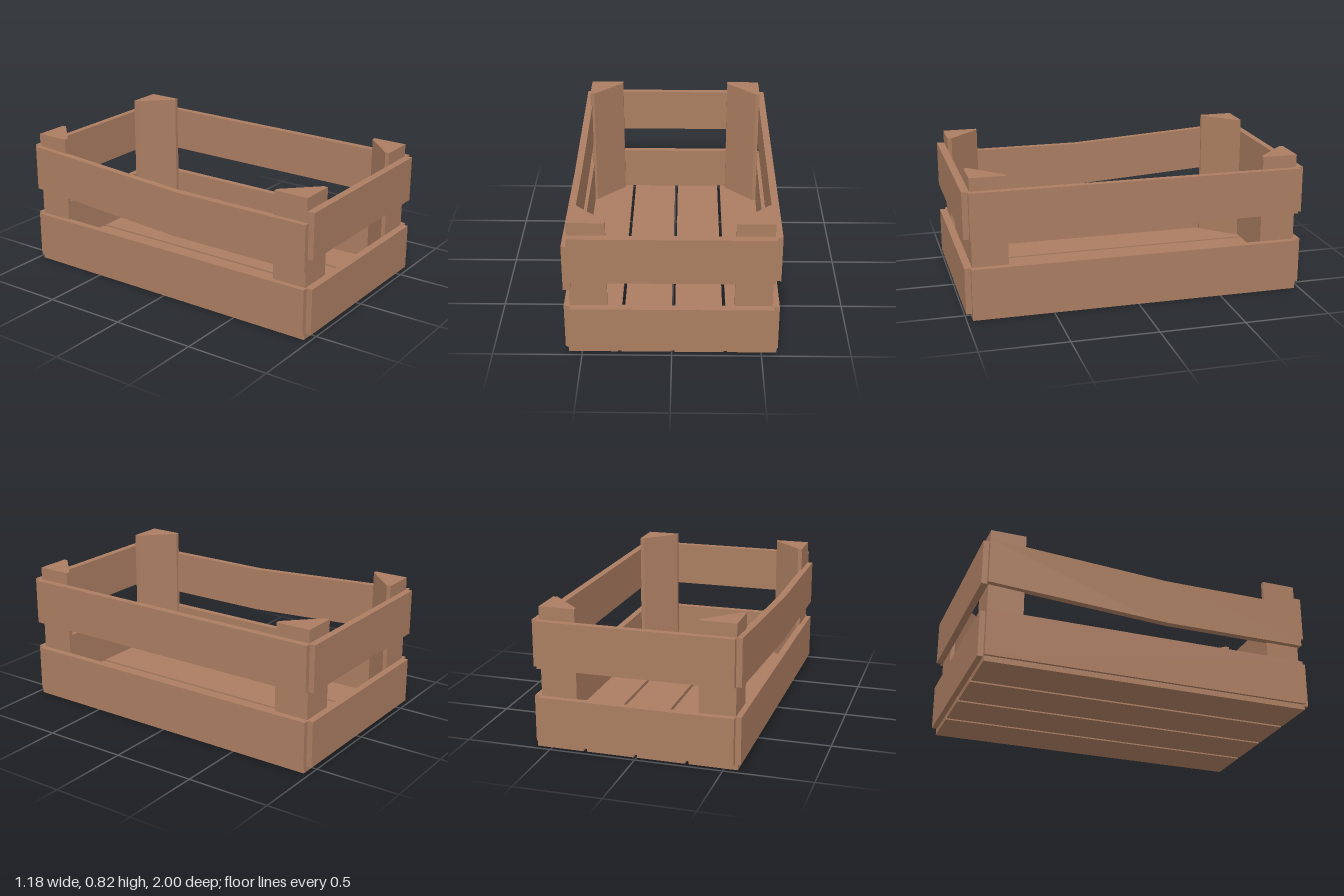
import * as THREE from 'three';

export function createModel() {
  const crate = new THREE.Group();
  crate.name = 'woodenCrate';
  const wood = new THREE.MeshStandardMaterial({ color: 0xab7d61 });
  wood.name = 'wood';

  const add = (name, geometry) => {
    const mesh = new THREE.Mesh(geometry, wood);
    mesh.name = name;
    crate.add(mesh);
    return mesh;
  };

  // Straight plank given by its lower and upper limits on each axis
  const plank = (name, [x0, x1], [y0, y1], [z0, z1]) =>
    add(name, new THREE.BoxGeometry(x1 - x0, y1 - y0, z1 - z0))
      .position.set((x0 + x1) / 2, (y0 + y1) / 2, (z0 + z1) / 2);

  const outline = (points) => new THREE.Shape(points.map(([a, b]) => new THREE.Vector2(a, b)));

  const low = [0.032, 0.304], high = [0.473, 0.745], sideZ = [-0.968, 0.966];

  // Floor slats
  for (let i = 0; i < 4; i++) {
    const x = -0.576 + i * 0.2955;
    plank('floorSlat', [x, x + 0.276], [0, 0.032], sideZ);
  }

  // Front and back boards
  for (const y of [low, high]) {
    plank('frontBoard', [-0.559, 0.56], y, [0.956, 1]);
    plank('backBoard', [-0.559, 0.56], y, [-1, -0.96]);
  }

  // Side boards
  plank('leftLowerBoard', [0.55, 0.592], low, sideZ);
  plank('leftUpperBoard', [0.55, 0.592], high, sideZ);
  plank('rightLowerBoard', [-0.592, -0.55], low, sideZ);

  // Right upper board, sagging towards the front: [z, lower edge]
  const sag = [[0.966, 0.408], [0.1, 0.408], [0, 0.414], [-0.968, 0.473]];
  const sagShape = outline([
    ...sag.map(([z, y]) => [-z, y]),
    ...sag.map(([z, y]) => [-z, y + 0.272]).reverse(),
  ]);
  const sagGeometry = new THREE.ExtrudeGeometry(sagShape, { depth: 0.042, bevelEnabled: false });
  sagGeometry.rotateY(Math.PI / 2).translate(-0.592, 0, 0);
  add('rightUpperBoard', sagGeometry);

  // Corner posts: triangular prisms with blunted tips
  const profile = [[0, 0], [0.207, 0], [0.207, 0.025], [0.025, 0.207], [0, 0.207]];
  for (const sx of [-1, 1]) {
    for (const sz of [-1, 1]) {
      const cx = sx < 0 ? -0.56 : 0.552, cz = sz < 0 ? -0.96 : 0.956;
      const shape = outline(profile.map(([a, b]) => [cx - sx * a, -(cz - sz * b)]));
      const geometry = new THREE.ExtrudeGeometry(shape, { depth: 0.788, bevelEnabled: false });
      geometry.rotateX(-Math.PI / 2).translate(0, 0.032, 0);
      add('cornerPost', geometry);
    }
  }
  return crate;
}
